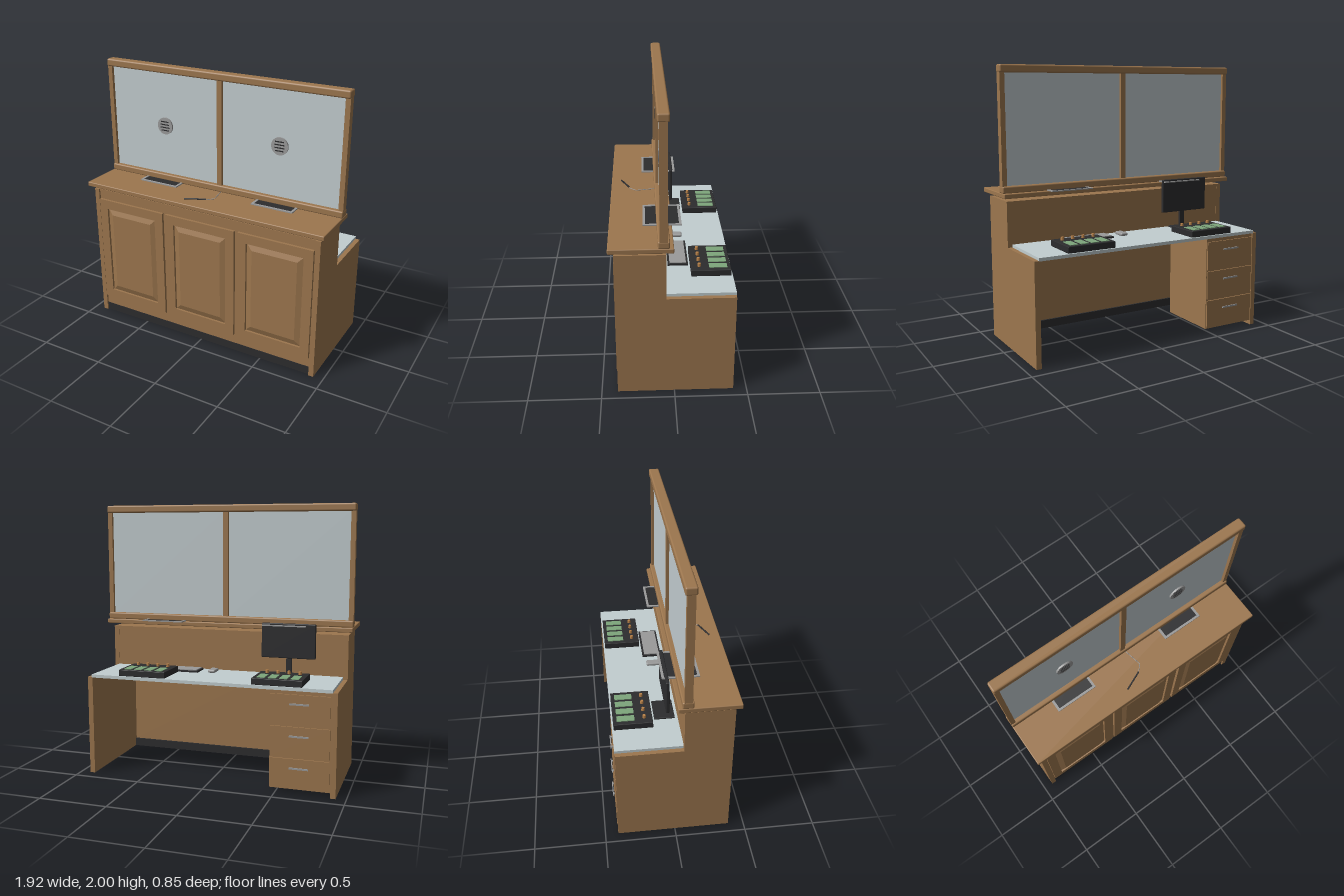
import * as THREE from 'three';
import { RoundedBoxGeometry } from 'three/addons/geometries/RoundedBoxGeometry.js';

const material = (name, color, extra = {}) => {
  const m = new THREE.MeshStandardMaterial({ color, ...extra });
  m.name = name;
  return m;
};

export function createModel() {
  const model = new THREE.Group();
  model.name = 'serviceCounter';
  const wood = material('wood', 0x9c764e);
  const glass = material('glass', 0xc2cccf);
  const laminate = material('laminate', 0xc2ced0);
  const charcoal = material('charcoal', 0x2c2c2e);
  const metal = material('metal', 0x9a9a9a);
  const green = material('green', 0x7ea67c);
  const amber = material('amber', 0xb98249);

  const add = (name, geometry, mat, parent = model) => {
    const mesh = new THREE.Mesh(geometry, mat);
    mesh.name = name;
    parent.add(mesh);
    return mesh;
  };
  // Box given by its limits on each axis; r rounds the edges
  const box = (name, mat, [x0, x1], [y0, y1], [z0, z1], parent = model, r = 0) => {
    const s = [x1 - x0, y1 - y0, z1 - z0];
    const g = r ? new RoundedBoxGeometry(...s, 2, r) : new THREE.BoxGeometry(...s);
    g.translate((x0 + x1) / 2, (y0 + y1) / 2, (z0 + z1) / 2);
    return add(name, g, mat, parent);
  };
  const group = (name, x = 0, y = 0, z = 0) => {
    const g = new THREE.Group();
    g.name = name;
    g.position.set(x, y, z);
    model.add(g);
    return g;
  };
  const rect = (T, w, h) => {
    const s = new T();
    s.moveTo(-w / 2, -h / 2);
    s.lineTo(w / 2, -h / 2);
    s.lineTo(w / 2, h / 2);
    s.lineTo(-w / 2, h / 2);
    s.closePath();
    return s;
  };
  const frame = (w, h, iw, ih, depth) => {
    const s = rect(THREE.Shape, w, h);
    s.holes.push(rect(THREE.Path, iw, ih));
    return new THREE.ExtrudeGeometry(s, { depth, bevelEnabled: false });
  };

  // Stepped side panels
  const outline = new THREE.Shape([[-0.39, 0], [0.408, 0], [0.408, 0.735], [-0.055, 0.735], [-0.055, 1.062], [-0.39, 1.062]]
    .map(([x, y]) => new THREE.Vector2(x, y)));
  for (const side of [-1, 1]) {
    const g = new THREE.ExtrudeGeometry(outline, { depth: 0.038, bevelEnabled: false });
    g.rotateY(Math.PI / 2);
    g.translate(side * 0.909 - 0.019, 0, 0);
    add('sidePanel', g, wood);
  }

  // Cabinet boards, plinth and tops
  box('frontBoard', wood, [-0.89, 0.89], [0.06, 1.045], [0.35, 0.375]);
  box('cabinetTop', wood, [-0.89, 0.89], [1.042, 1.062], [0.055, 0.38]);
  box('upperBackBoard', wood, [-0.89, 0.89], [0.75, 1.045], [0.057, 0.075]);
  box('plinth', charcoal, [-0.89, 0.89], [0, 0.062], [0.335, 0.378]);
  box('workTop', laminate, [-0.895, 0.895], [0.732, 0.755], [-0.41, 0.057]);
  box('counterTop', wood, [-0.962, 0.962], [1.088, 1.122], [0.006, 0.427], model, 0.006);

  // Front doors with raised centre panels
  for (const x of [-0.598, 0, 0.598]) {
    const door = group('frontDoor', x, 0.563, 0.375);
    add('doorFrame', frame(0.572, 0.845, 0.434, 0.705, 0.02), wood, door);
    const g = new THREE.BoxGeometry(0.434, 0.705, 0.016);
    const p = g.attributes.position;
    for (let i = 0; i < p.count; i++) {
      if (p.getZ(i) > 0) p.setXY(i, p.getX(i) - Math.sign(p.getX(i)) * 0.045, p.getY(i) - Math.sign(p.getY(i)) * 0.045);
    }
    g.computeVertexNormals();
    add('raisedPanel', g, wood, door).position.z = 0.011;
  }

  // Drawer pedestal
  box('pedestal', wood, [-0.89, -0.46], [0.035, 0.732], [-0.4, 0.08]);
  for (let i = 0; i < 3; i++) {
    const y = 0.04 + i * 0.226;
    box('drawerFront', wood, [-0.882, -0.465], [y, y + 0.214], [-0.411, -0.399]);
    box('drawerHandle', metal, [-0.738, -0.602], [y + 0.144, y + 0.156], [-0.427, -0.42]);
    for (const x of [-0.725, -0.625]) box('handleFoot', metal, [x, x + 0.01], [y + 0.146, y + 0.154], [-0.421, -0.41]);
  }

  // Glazed screen
  box('screenTopRail', wood, [-0.962, 0.962], [1.945, 2], [0.032, 0.109], model, 0.012);
  box('screenBottomRail', wood, [-0.962, 0.962], [1.12, 1.17], [0.032, 0.109], model, 0.01);
  for (const [a, b] of [[-0.96, -0.925], [-0.02, 0.02], [0.925, 0.96]]) {
    box('screenPost', wood, [a, b], [1.16, 1.955], [0.045, 0.098]);
  }
  for (const s of [-1, 1]) {
    box('glassPane', glass, s < 0 ? [-0.926, -0.019] : [0.019, 0.926], [1.165, 1.95], [0.066, 0.076]);
    // Speaking grille with slots
    const grille = group('speakingGrille', s * 0.47, 1.545, 0.076);
    const disc = new THREE.CylinderGeometry(0.064, 0.064, 0.012, 32);
    disc.rotateX(Math.PI / 2);
    add('grilleDisc', disc, metal, grille).position.z = 0.006;
    [0.065, 0.076, 0.076, 0.065].forEach((w, i) => {
      const y = 0.033 - i * 0.022;
      box('grilleSlot', charcoal, [-w / 2, w / 2], [y - 0.004, y + 0.004], [0.011, 0.0135], grille);
    });
    // Pass-through tray
    const tray = group('passTray', s * 0.473, 1.122, 0.07);
    const rim = frame(0.32, 0.26, 0.285, 0.226, 0.008);
    rim.rotateX(-Math.PI / 2);
    add('trayRim', rim, metal, tray);
    box('trayFloor', charcoal, [-0.144, 0.144], [0.0005, 0.004], [-0.114, 0.114], tray);
  }

  // Control consoles
  for (const x of [-0.505, 0.5]) {
    const desk = group('controlConsole', x, 0.755, -0.262);
    box('consoleBody', charcoal, [-0.18, 0.18], [0, 0.047], [-0.137, 0.137], desk, 0.004);
    for (let i = 0; i < 4; i++) {
      const cx = -0.12 + i * 0.08;
      box('consoleDisplay', green, [cx - 0.028, cx + 0.028], [0.046, 0.052], [-0.112, 0.012], desk);
      const knob = add('consoleKnob', new THREE.CylinderGeometry(0.011, 0.013, 0.022, 8), amber, desk);
      knob.position.set(cx, 0.058, 0.08);
    }
  }

  // Monitor on a stand
  box('monitorBase', charcoal, [-0.605, -0.405], [0.755, 0.768], [-0.11, 0.036], model, 0.005);
  box('monitorPost', charcoal, [-0.525, -0.485], [0.766, 0.93], [-0.01, 0.01]);
  box('monitorNeck', charcoal, [-0.535, -0.475], [0.9, 0.93], [-0.02, 0.01]);
  box('monitorScreen', charcoal, [-0.705, -0.305], [0.888, 1.142], [-0.04, -0.016], model, 0.006);

  // Keyboard and mouse
  box('keyboardBase', charcoal, [0.17, 0.525], [0.755, 0.767], [-0.113, 0.03]);
  box('keyboardKeys', metal, [0.184, 0.511], [0.766, 0.773], [-0.099, 0.017]);
  box('mouse', metal, [0.04, 0.096], [0.755, 0.779], [-0.094, 0.008], model, 0.01);

  // Pen on a chain
  const rod = (name, mat, a, b, r) => {
    const path = new THREE.LineCurve3(new THREE.Vector3(...a), new THREE.Vector3(...b));
    add(name, new THREE.TubeGeometry(path, 1, r, 6), mat);
  };
  rod('pen', charcoal, [-0.142, 1.128, 0.352], [0.002, 1.13, 0.29], 0.006);
  rod('penChain', metal, [0.002, 1.126, 0.29], [0.046, 1.126, 0.245], 0.003);
  rod('penChain', metal, [0.046, 1.126, 0.245], [0.018, 1.126, 0.105], 0.003);

  return model;
}
